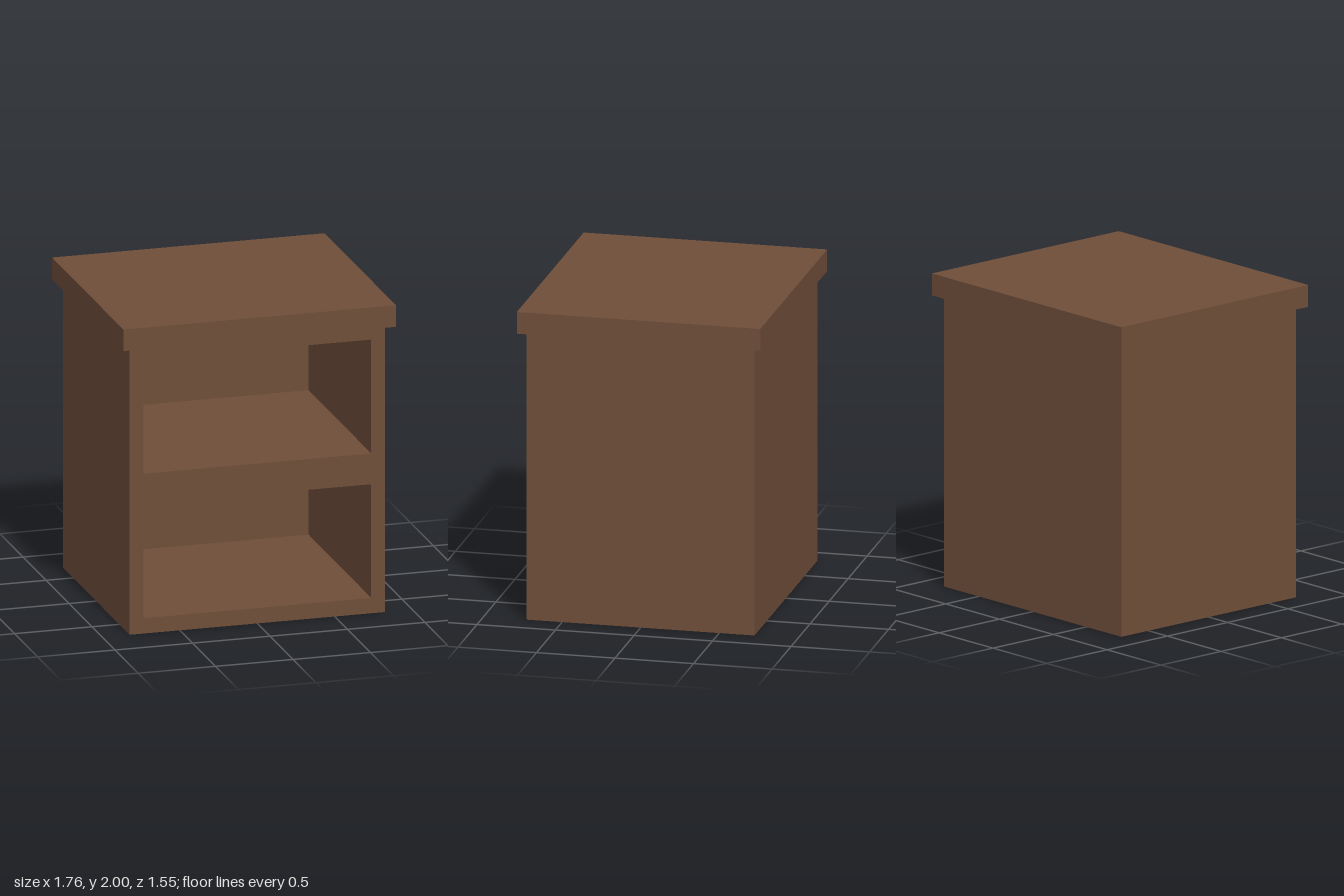
import * as THREE from 'three';

export function createModel() {
  const wood = new THREE.MeshStandardMaterial({ color: 0x6f4e39 });
  wood.name = 'brown wood';
  const model = new THREE.Group();
  model.name = 'nightstand';

  const add = (name, geometry, x, y, z) => {
    const mesh = new THREE.Mesh(geometry, wood);
    mesh.name = name;
    mesh.position.set(x, y, z);
    model.add(mesh);
  };

  const halfW = 0.825, halfD = 0.725, bodyH = 1.86, back = 0.09;

  // Rectangle outline, reused for the body and its openings
  const rect = (path, hw, y0, y1) =>
    path.moveTo(-hw, y0).lineTo(hw, y0).lineTo(hw, y1).lineTo(-hw, y1).closePath();

  // Carcass: one outline with two open compartments, extruded front to back
  const outline = rect(new THREE.Shape(), halfW, 0, bodyH);
  for (const [y0, y1] of [[0.1, 0.837], [1.037, 1.775]]) {
    outline.holes.push(rect(new THREE.Path(), 0.735, y0, y1));
  }
  const carcass = new THREE.ExtrudeGeometry(outline, { depth: 2 * halfD - back, bevelEnabled: false });
  add('carcass', carcass, 0, 0, -halfD + back);

  // Back panel closing the compartments
  add('backPanel', new THREE.BoxGeometry(2 * halfW, bodyH, back), 0, bodyH / 2, -halfD + back / 2);

  // Overhanging top
  add('top', new THREE.BoxGeometry(1.76, 0.14, 1.55), 0, 1.93, 0);

  return model;
}
